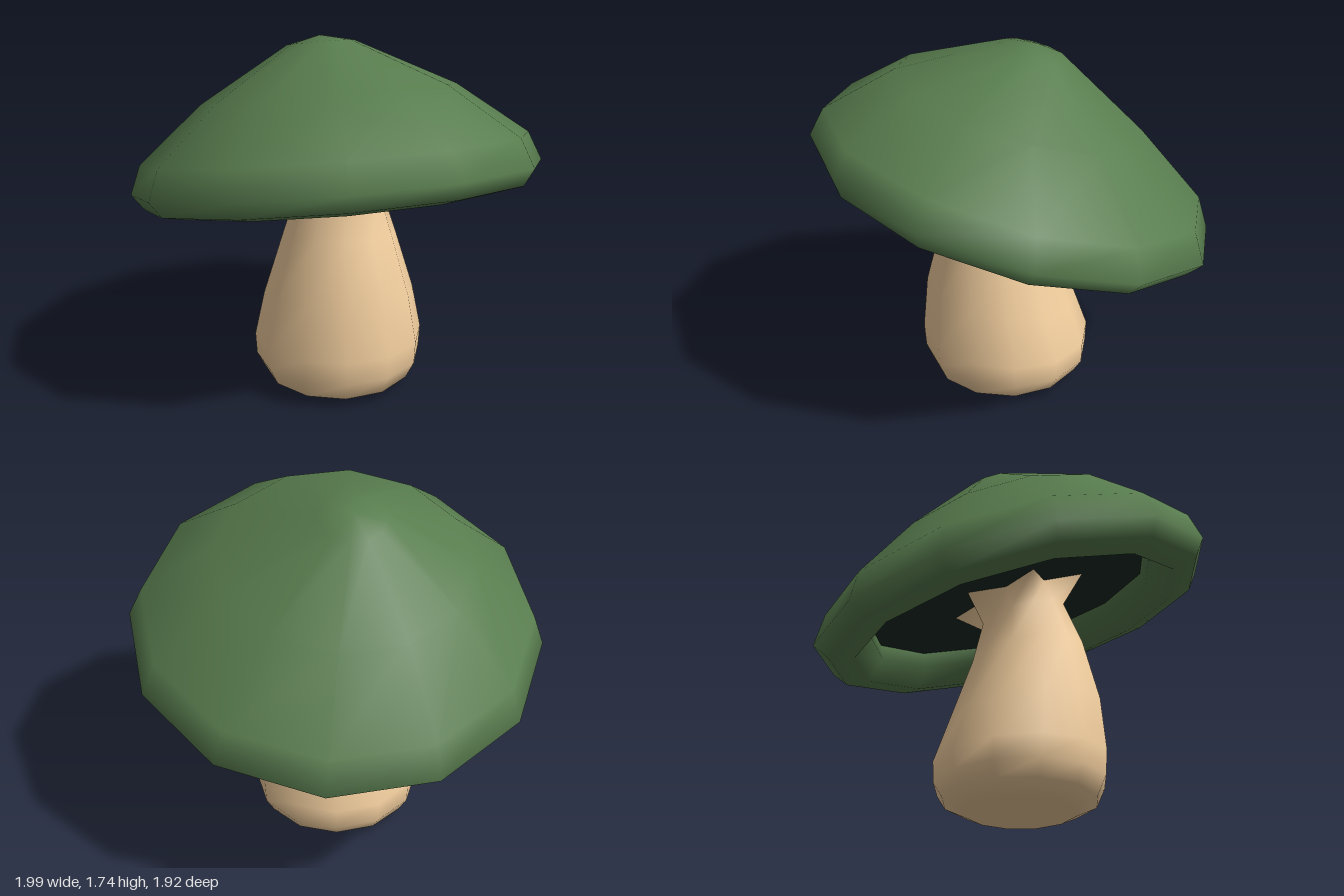
import * as THREE from 'three';

const SIDES = 12;

// Smooth skin through rings listed bottom to top.
// Ring: r radius, y height, cx/cz centre, tx/tz slope of the ring along x/z, tip radius of odd corners
function loft(rings, { bottom, top } = {}) {
  const pos = [], idx = [];
  for (const { r, y, cx = 0, cz = 0, tx = 0, tz = 0, tip = r } of rings) {
    for (let i = 0; i < SIDES; i++) {
      const a = (i / SIDES) * Math.PI * 2;
      const rad = i % 2 ? tip : r;
      const x = cx + rad * Math.sin(a), z = cz + rad * Math.cos(a);
      pos.push(x, y + tx * x + tz * z, z);
    }
  }
  for (let k = 0; k < rings.length - 1; k++) {
    for (let i = 0; i < SIDES; i++) {
      const j = (i + 1) % SIDES;
      const a = k * SIDES + i, b = k * SIDES + j;
      idx.push(a, b, b + SIDES, a, b + SIDES, a + SIDES);
    }
  }
  // Close an end with a fan around one centre point
  const fan = (start, point, up) => {
    const c = pos.length / 3;
    pos.push(...point);
    for (let i = 0; i < SIDES; i++) {
      const a = start + i, b = start + ((i + 1) % SIDES);
      if (up) idx.push(a, b, c);
      else idx.push(b, a, c);
    }
  };
  if (bottom) fan(0, bottom, false);
  if (top) fan((rings.length - 1) * SIDES, top, true);

  const g = new THREE.BufferGeometry();
  g.setAttribute('position', new THREE.Float32BufferAttribute(pos, 3));
  g.setIndex(idx);
  g.computeVertexNormals();
  return g;
}

function part(name, geometry, color) {
  const mesh = new THREE.Mesh(geometry, new THREE.MeshStandardMaterial({ color }));
  mesh.name = name;
  return mesh;
}

export function createModel() {
  const model = new THREE.Group();
  model.name = 'mushroom';

  // Stem: bulging foot, narrowing neck, then a six-pointed flare against the gills
  model.add(part('stem', loft([
    { r: 0.265, y: 0, cz: 0.04 },
    { r: 0.37, y: 0.05, cz: 0.04 },
    { r: 0.412, y: 0.13, cz: 0.04, tz: 0.04 },
    { r: 0.418, y: 0.24, cz: 0.042, tz: 0.06 },
    { r: 0.37, y: 0.47, cz: 0.065, tz: 0.16 },
    { r: 0.275, y: 0.78, cz: 0.08, tz: 0.2 },
    { r: 0.205, y: 0.99, cz: 0.06, tz: 0.28, tx: 0.04 },
    { r: 0.19, tip: 0.335, y: 1.118, cz: 0.03, tz: 0.29, tx: 0.055 },
  ], { bottom: [0, 0, 0.04] }), 0xf3cf9f));

  // Cap: tilted back, with the peak slightly off centre
  const cap = new THREE.Group();
  cap.name = 'cap';
  cap.position.y = 1.05;
  cap.rotation.set(-0.284, -0.05, 0.055);
  cap.add(part('capShell', loft([
    { r: 0.71, y: 0.07 },
    { r: 0.72, y: -0.01 },
    { r: 0.82, y: -0.1 },
    { r: 0.943, y: -0.076 },
    { r: 1, y: 0 },
    { r: 0.94, y: 0.142, cz: 0.03 },
    { r: 0.61, y: 0.405, cz: 0.085, cx: -0.01 },
    { r: 0.16, y: 0.65, cz: 0.08, cx: -0.03 },
  ], { top: [-0.03, 0.685, 0.08] }), 0x587c4e));

  // Dark underside inside the rim
  const gills = part('gills', new THREE.CircleGeometry(0.72, SIDES), 0x162a22);
  gills.rotation.x = Math.PI / 2;
  gills.position.y = 0.06;
  cap.add(gills);
  model.add(cap);

  return model;
}
